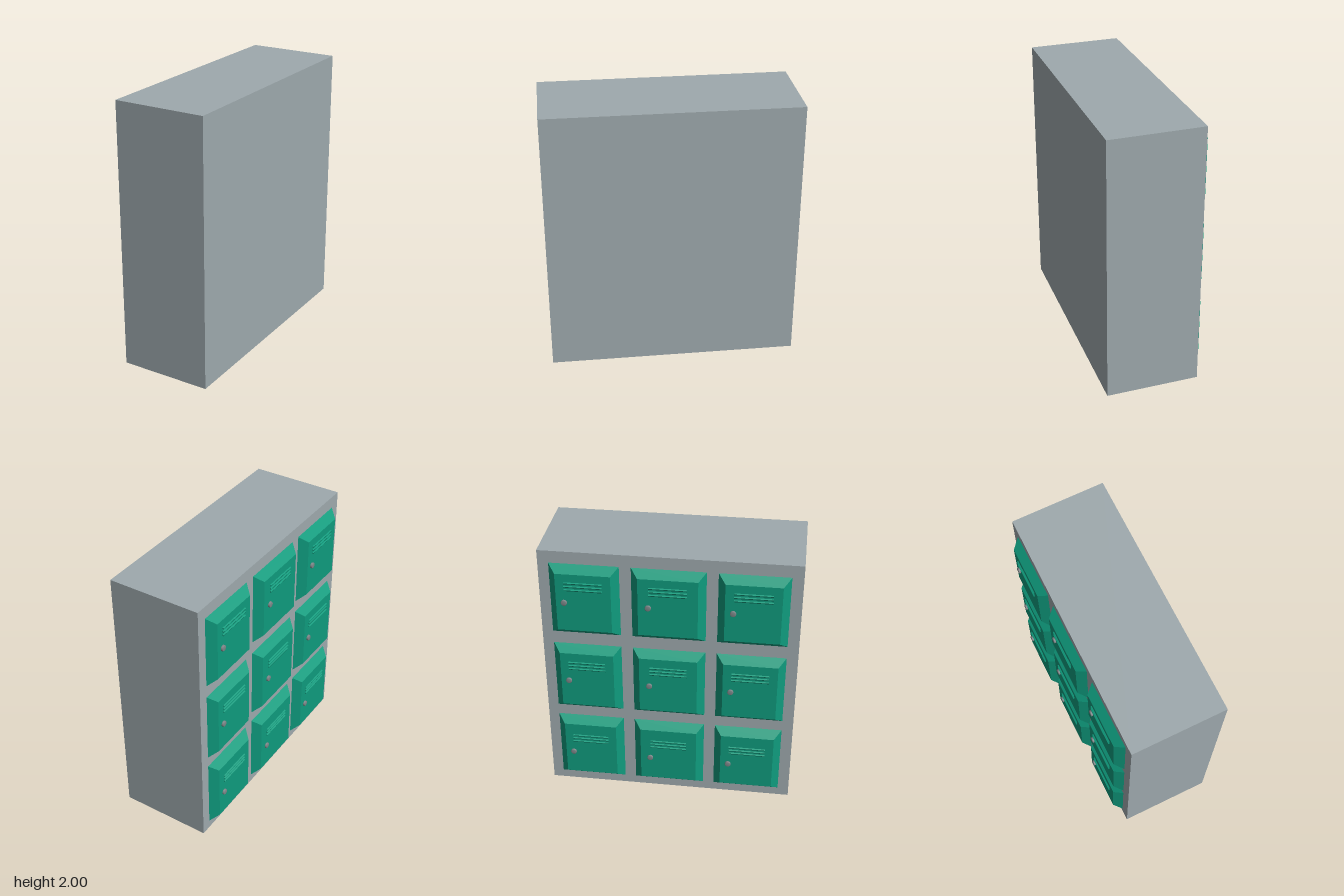
import * as THREE from 'three';

const FACE_X = -0.31; // cabinet face that carries the doors
const DOOR_X = -0.37; // raised door panel

// Box whose outer (-x) side is inset on all four edges
function bevelledPanel(depth, height, width, inset) {
  const g = new THREE.BoxGeometry(depth, height, width);
  const p = g.attributes.position;
  for (let i = 0; i < p.count; i++) {
    if (p.getX(i) < 0) {
      p.setY(i, p.getY(i) - Math.sign(p.getY(i)) * inset);
      p.setZ(i, p.getZ(i) - Math.sign(p.getZ(i)) * inset);
    }
  }
  g.computeVertexNormals();
  return g;
}

export function createModel() {
  const steel = new THREE.MeshStandardMaterial({ color: 0x9ea9ad });
  steel.name = 'steel grey';
  const green = new THREE.MeshStandardMaterial({ color: 0x0f9b7d });
  green.name = 'door green';
  const metal = new THREE.MeshStandardMaterial({ color: 0x7d8688 });
  metal.name = 'knob metal';

  const root = new THREE.Group();
  root.name = 'lockerCabinet';
  const add = (parent, geometry, material, name, x, y, z) => {
    const m = new THREE.Mesh(geometry, material);
    m.name = name;
    m.position.set(x, y, z);
    parent.add(m);
    return m;
  };

  // Cabinet body
  add(root, new THREE.BoxGeometry(0.69, 2, 1.84), steel, 'cabinet', 0.035, 1, 0);

  // Knob: short cylinder with a rounded rim, axis turned towards -x
  const knobGeo = new THREE.LatheGeometry([
    [0.022, 0], [0.022, 0.011], [0.018, 0.015], [0, 0.015],
  ].map(([r, h]) => new THREE.Vector2(r, h)), 16);
  knobGeo.rotateZ(Math.PI / 2);
  const louvreGeo = new THREE.BoxGeometry(0.012, 0.01, 0.27);

  // Nine doors: [centre z, width] by column, centre y by row
  const columns = [[-0.595, 0.495], [-0.002, 0.525], [0.59, 0.497]];
  const rows = [1.632, 0.982, 0.343];
  const knobY = [1.633, 0.975, 0.312];
  const depth = FACE_X - DOOR_X;
  for (const [z, width] of columns) {
    const panel = bevelledPanel(depth, 0.553, width, 0.052);
    rows.forEach((y, r) => {
      const door = new THREE.Group();
      door.name = 'door';
      root.add(door);
      add(door, panel, green, 'doorPanel', FACE_X - depth / 2, y, z);
      add(door, knobGeo, metal, 'knob', DOOR_X, knobY[r], z - 0.138);
      // Ventilation louvres, tipped downwards
      for (let i = 0; i < 3; i++) {
        const louvre = add(door, louvreGeo, green, 'louvre', DOOR_X - 0.001, knobY[r] + 0.155 - i * 0.027, z);
        louvre.rotation.z = 0.5;
      }
    });
  }
  return root;
}
